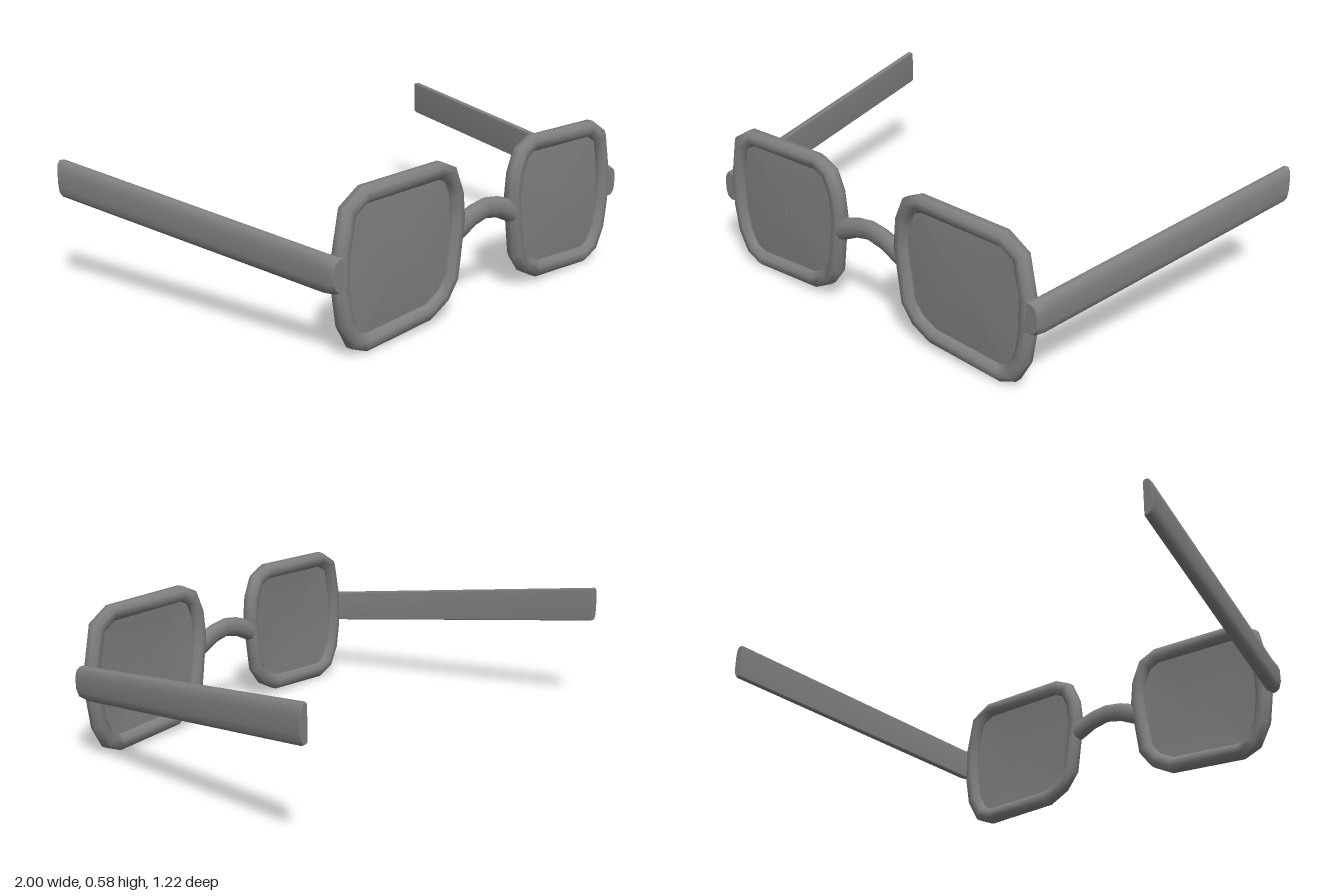
import * as THREE from 'three';

const material = new THREE.MeshStandardMaterial({ color: 0x808080, side: THREE.DoubleSide });

// Skin a list of equal-sized rings; side = -1 mirrors the part across x = 0.
function loft(name, rings, { side = 1, closed = false, caps = false } = {}) {
  const n = rings[0].length, pos = [], index = [];
  const tri = (a, b, c) => (side > 0 ? index.push(a, b, c) : index.push(a, c, b));
  const add = (ring) => ring.forEach(([x, y, z]) => pos.push(x * side, y, z));
  rings.forEach(add);
  const spans = closed ? rings.length : rings.length - 1;
  for (let r = 0; r < spans; r++) {
    const s = (r + 1) % rings.length;
    for (let k = 0; k < n; k++) {
      const j = (k + 1) % n;
      tri(r * n + k, r * n + j, s * n + j);
      tri(r * n + k, s * n + j, s * n + k);
    }
  }
  if (caps) {
    [rings[0], rings[rings.length - 1]].forEach((ring, end) => {
      const base = pos.length / 3;
      add(ring);
      for (let k = 1; k < n - 1; k++) {
        if (end) tri(base, base + k, base + k + 1);
        else tri(base, base + k + 1, base + k);
      }
    });
  }
  const geometry = new THREE.BufferGeometry();
  geometry.setAttribute('position', new THREE.Float32BufferAttribute(pos, 3));
  geometry.setIndex(index);
  geometry.computeVertexNormals();
  const mesh = new THREE.Mesh(geometry, material);
  mesh.name = name;
  return mesh;
}

// Outer edge of one rim, counter-clockwise from the front
const OUTLINE = [
  [0.645, 0.573], [0.257, 0.58], [0.181, 0.546], [0.142, 0.458], [0.131, 0.356],
  [0.163, 0.134], [0.219, 0.062], [0.306, 0.018], [0.629, 0], [0.702, 0.03],
  [0.751, 0.118], [0.769, 0.233], [0.769, 0.356], [0.734, 0.519],
];
const FRAME_Z = 0.582, RIM = 0.03, DEPTH = 0.03;

// Mitred outward direction at every corner of the outline
const MITRES = OUTLINE.map((p, i) => {
  const n = OUTLINE.length;
  const normal = (a, b) => new THREE.Vector2(b[1] - a[1], a[0] - b[0]).normalize();
  const n1 = normal(OUTLINE[(i + n - 1) % n], p);
  const n2 = normal(p, OUTLINE[(i + 1) % n]);
  return n1.clone().add(n2).divideScalar(1 + n1.dot(n2));
});
const offset = (i, d) => [OUTLINE[i][0] + MITRES[i].x * d, OUTLINE[i][1] + MITRES[i].y * d];

// Eight-sided section swept round the outline
function rim(side) {
  const grow = 1 / Math.cos(Math.PI / 8);
  const rings = OUTLINE.map((_, i) => Array.from({ length: 8 }, (_, k) => {
    const a = ((k + 0.5) / 8) * Math.PI * 2;
    const [x, y] = offset(i, -RIM + Math.sin(a) * RIM * grow);
    return [x, y, FRAME_Z + Math.cos(a) * DEPTH * grow];
  }));
  return loft('rim', rings, { side, closed: true });
}

// Thin, gently domed lens
function lens(side) {
  const cx = 0.455, cy = 0.295;
  const rings = [1, 0.75, 0.5, 0.25, 0.001].map((s) => OUTLINE.map((_, i) => {
    const [x, y] = offset(i, -0.05);
    return [cx + (x - cx) * s, cy + (y - cy) * s, FRAME_Z + 0.01 * (1 - s * s)];
  }));
  return loft('lens', rings, { side });
}

// Bar with a rounded outside and flat inside, splaying outwards and rising to the back
function temple(side) {
  // z, inner x, outer x, bottom y, top y
  const stations = [
    [-0.612, 0.967, 0.997, 0.374, 0.506],
    [-0.604, 0.964, 1.0, 0.37, 0.508],
    [0.555, 0.762, 0.81, 0.242, 0.369],
    [0.595, 0.742, 0.808, 0.243, 0.366],
    [0.612, 0.738, 0.798, 0.25, 0.361],
  ];
  const rings = stations.map(([z, x0, x1, y0, y1]) => {
    const cx = (x0 + x1) / 2, cy = (y0 + y1) / 2;
    const w = (x1 - x0) / 2, h = (y1 - y0) / 2;
    return [
      [1, -0.4], [1, 0.4], [0.75, 0.8], [0.2, 1], [-0.7, 1], [-1, 0.93],
      [-1, -0.93], [-0.7, -1], [0.2, -1], [0.75, -0.8],
    ].map(([u, v]) => [cx + u * w, cy + v * h, z]);
  });
  return loft('temple', rings, { side, caps: true });
}

// Arched nose bridge between the rims, thicker where it meets them
function bridge() {
  // x, centre y, half height, half depth
  const half = [[0.165, 0.309, 0.046, 0.03], [0.135, 0.32, 0.045, 0.03], [0.07, 0.346, 0.041, 0.027]];
  const stations = [
    ...half.map(([x, ...rest]) => [-x, ...rest]),
    [0, 0.358, 0.039, 0.026],
    ...half.reverse(),
  ];
  const rings = stations.map(([x, y, h, d]) => Array.from({ length: 10 }, (_, k) => {
    const a = (k / 10) * Math.PI * 2;
    return [x, y + Math.cos(a) * h, FRAME_Z + Math.sin(a) * d];
  }));
  return loft('bridge', rings, { caps: true });
}

export function createModel() {
  const model = new THREE.Group();
  model.name = 'eyeglasses';
  for (const [side, label] of [[1, 'left'], [-1, 'right']]) {
    const half = new THREE.Group();
    half.name = `${label}Half`;
    half.add(rim(side), lens(side), temple(side));
    model.add(half);
  }
  model.add(bridge());
  return model;
}
